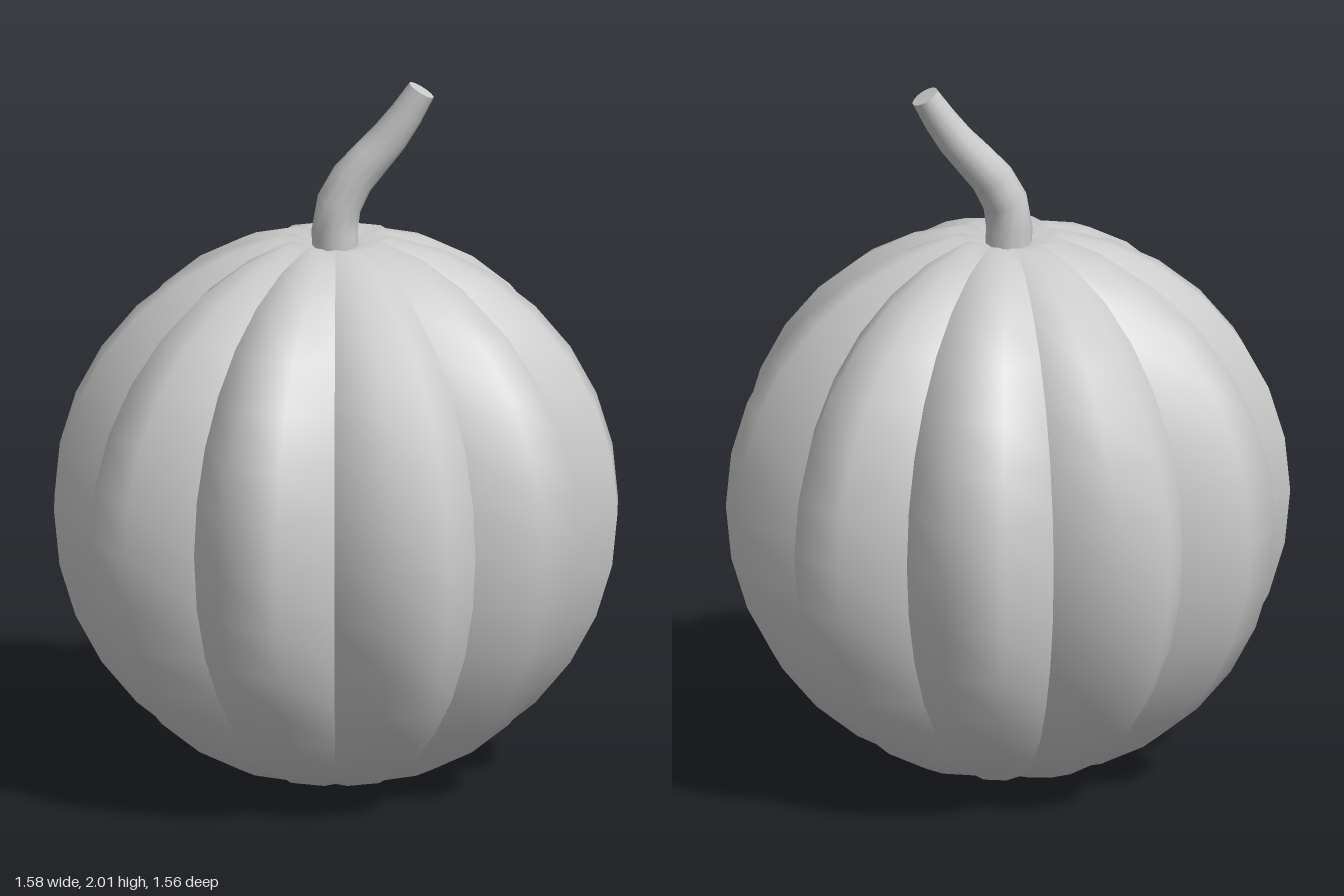
import * as THREE from 'three';

const LOBES = 10, ROWS = 16, COLS = 3;
const RADIUS = 0.795, CENTRE = 0.78, VALLEY = 0.845, DENT = 0.04;

// One rib of the shell: a ridged slice of a sphere with dimpled poles
function lobeGeometry() {
  const pos = [], index = [];
  for (let i = 0; i <= ROWS; i++) {
    const phi = (i / ROWS) * Math.PI;
    let y = CENTRE + RADIUS * Math.cos(phi);
    if (i === 0) y = 2 * CENTRE - DENT;
    if (i === ROWS) y = DENT;
    for (let j = 0; j <= COLS; j++) {
      const a = (j / COLS) * (Math.PI * 2 / LOBES);
      const r = RADIUS * Math.sin(phi) * (j % COLS === 0 ? VALLEY : 1);
      pos.push(r * Math.sin(a), Math.max(y, 0), r * Math.cos(a));
    }
  }
  for (let i = 0; i < ROWS; i++) {
    for (let j = 0; j < COLS; j++) {
      const a = i * (COLS + 1) + j, b = a + COLS + 1;
      if (i < ROWS - 1) index.push(a, b, b + 1);
      else index.push(a, b, a + 1);
      if (i > 0 && i < ROWS - 1) index.push(a, b + 1, a + 1);
    }
  }
  const geo = new THREE.BufferGeometry();
  geo.setAttribute('position', new THREE.Float32BufferAttribute(pos, 3));
  geo.setIndex(index);
  geo.computeVertexNormals();
  return geo;
}

export function createModel() {
  const model = new THREE.Group();
  model.name = 'pumpkin';
  const material = new THREE.MeshStandardMaterial({ color: 0xcccccc });

  // Ribbed shell, creased only where the ribs meet
  const shell = new THREE.Group();
  shell.name = 'shell';
  const lobe = lobeGeometry();
  for (let k = 0; k < LOBES; k++) {
    const mesh = new THREE.Mesh(lobe, material);
    mesh.name = 'rib';
    mesh.rotation.y = (k / LOBES) * Math.PI * 2;
    shell.add(mesh);
  }
  model.add(shell);

  // Bent, tapering stem
  const curve = new THREE.CatmullRomCurve3([
    [0, 1.5, 0], [0, 1.63, 0], [0.037, 1.735, -0.033],
    [0.1, 1.825, -0.085], [0.15, 1.91, -0.122], [0.187, 1.986, -0.151],
  ].map((p) => new THREE.Vector3(...p)));
  const SEG = 7, SIDES = 12;
  const radiusAt = (t) => 0.066 - 0.026 * t * t;
  const stemGeo = new THREE.TubeGeometry(curve, SEG, 1, SIDES, false);
  const p = stemGeo.attributes.position, v = new THREE.Vector3();
  for (let i = 0; i < p.count; i++) {
    const t = Math.floor(i / (SIDES + 1)) / SEG;
    const c = curve.getPointAt(t);
    v.fromBufferAttribute(p, i).sub(c).multiplyScalar(radiusAt(t)).add(c);
    p.setXYZ(i, v.x, v.y, v.z);
  }
  const stem = new THREE.Mesh(stemGeo, material);
  stem.name = 'stem';
  model.add(stem);

  // Flat cut end of the stem
  const cut = new THREE.Mesh(new THREE.CircleGeometry(radiusAt(1), 24), material);
  cut.name = 'stemCut';
  cut.position.copy(curve.getPointAt(1));
  cut.quaternion.setFromUnitVectors(new THREE.Vector3(0, 0, 1), curve.getTangentAt(1));
  model.add(cut);

  return model;
}
